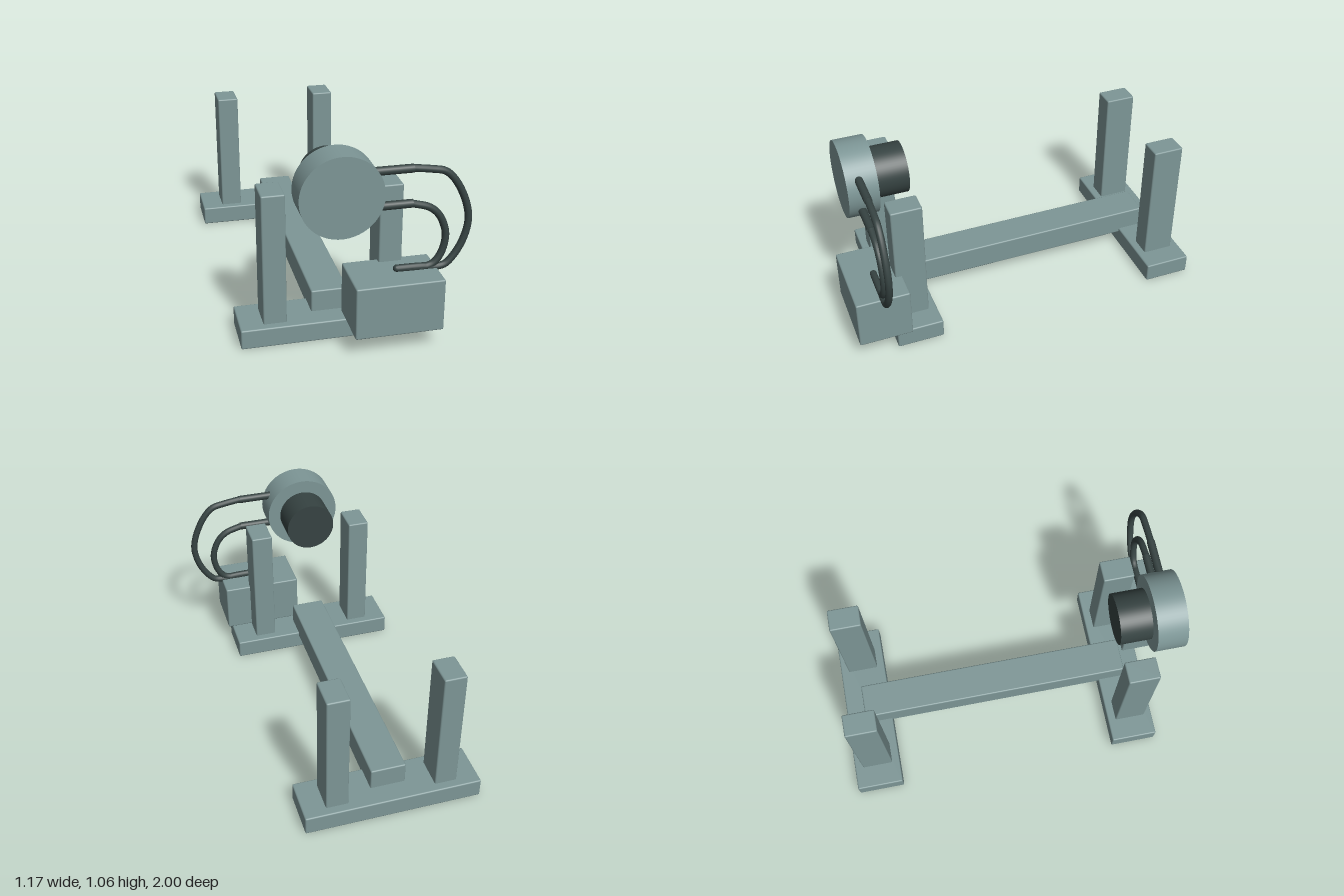
import * as THREE from 'three';
import { RoundedBoxGeometry } from 'three/addons/geometries/RoundedBoxGeometry.js';

export function createModel() {
  const model = new THREE.Group();
  model.name = 'pumpStand';
  const paint = new THREE.MeshStandardMaterial({ color: 0x7d9696 });
  paint.name = 'greyGreenPaint';
  const dark = new THREE.MeshStandardMaterial({ color: 0x364342 });
  dark.name = 'darkRubber';

  const add = (name, geometry, material) => {
    const mesh = new THREE.Mesh(geometry, material);
    mesh.name = name;
    model.add(mesh);
    return mesh;
  };

  // Softly bevelled block given by its extents
  const block = (name, [x0, x1], [y0, y1], [z0, z1]) =>
    add(name, new RoundedBoxGeometry(x1 - x0, y1 - y0, z1 - z0, 2, 0.008), paint)
      .position.set((x0 + x1) / 2, (y0 + y1) / 2, (z0 + z1) / 2);

  // Cylinder lying along z
  const disc = (name, r, z0, z1, material) => {
    const g = new THREE.CylinderGeometry(r, r, z1 - z0, 64).rotateX(Math.PI / 2);
    add(name, g, material).position.set(-0.1, 0.844, (z0 + z1) / 2);
  };

  // Two feet, each carrying a pair of posts
  const ends = [
    { name: 'front', foot: [0.525, 0.787], post: [0.57, 0.744] },
    { name: 'back', foot: [-1, -0.737], post: [-0.953, -0.78] },
  ];
  for (const { name, foot, post } of ends) {
    block(name + 'Foot', [-0.586, 0.384], [0, 0.107], foot);
    block(name + 'RightPost', [-0.463, -0.341], [0.09, 0.815], post);
    block(name + 'LeftPost', [0.138, 0.26], [0.09, 0.815], post);
  }

  // Long beam joining the feet
  block('beam', [-0.198, -0.004], [0.08, 0.225], [-0.885, 0.67]);

  // Box in front that takes the hoses
  block('controlBox', [-0.047, 0.41], [0.11, 0.392], [0.705, 1]);

  // Drum with its motor behind
  disc('drum', 0.212, 0.752, 0.918, paint);
  disc('motor', 0.141, 0.57, 0.746, dark);

  // Straight pipes out of the drum, then hoses curving down to the box
  const hoseZ = 0.849;
  const hoses = [
    { name: 'upper', y: 0.94, path: [[0.27, 0.941], [0.36, 0.928], [0.435, 0.91], [0.49, 0.855],
      [0.547, 0.74], [0.566, 0.64], [0.545, 0.535], [0.5, 0.45], [0.455, 0.403], [0.41, 0.393],
      [0.335, 0.402], [0.2, 0.405]] },
    { name: 'lower', y: 0.755, path: [[0.27, 0.754], [0.36, 0.725], [0.41, 0.68], [0.445, 0.6],
      [0.449, 0.54], [0.428, 0.462], [0.39, 0.413], [0.34, 0.398], [0.28, 0.4], [0.2, 0.405]] },
  ];
  for (const { name, y, path } of hoses) {
    const pipe = new THREE.CylinderGeometry(0.022, 0.022, 0.195, 20).rotateZ(Math.PI / 2);
    add(name + 'Pipe', pipe, dark).position.set(0.1725, y, hoseZ);
    const curve = new THREE.CatmullRomCurve3(path.map(([px, py]) => new THREE.Vector3(px, py, hoseZ)));
    add(name + 'Hose', new THREE.TubeGeometry(curve, 72, 0.019, 14), dark);
    // Caps on the hose ends
    for (const [px, py] of [path[0], path[path.length - 1]]) {
      add(name + 'HoseCap', new THREE.SphereGeometry(0.0188, 14, 10), dark).position.set(px, py, hoseZ);
    }
  }

  return model;
}
